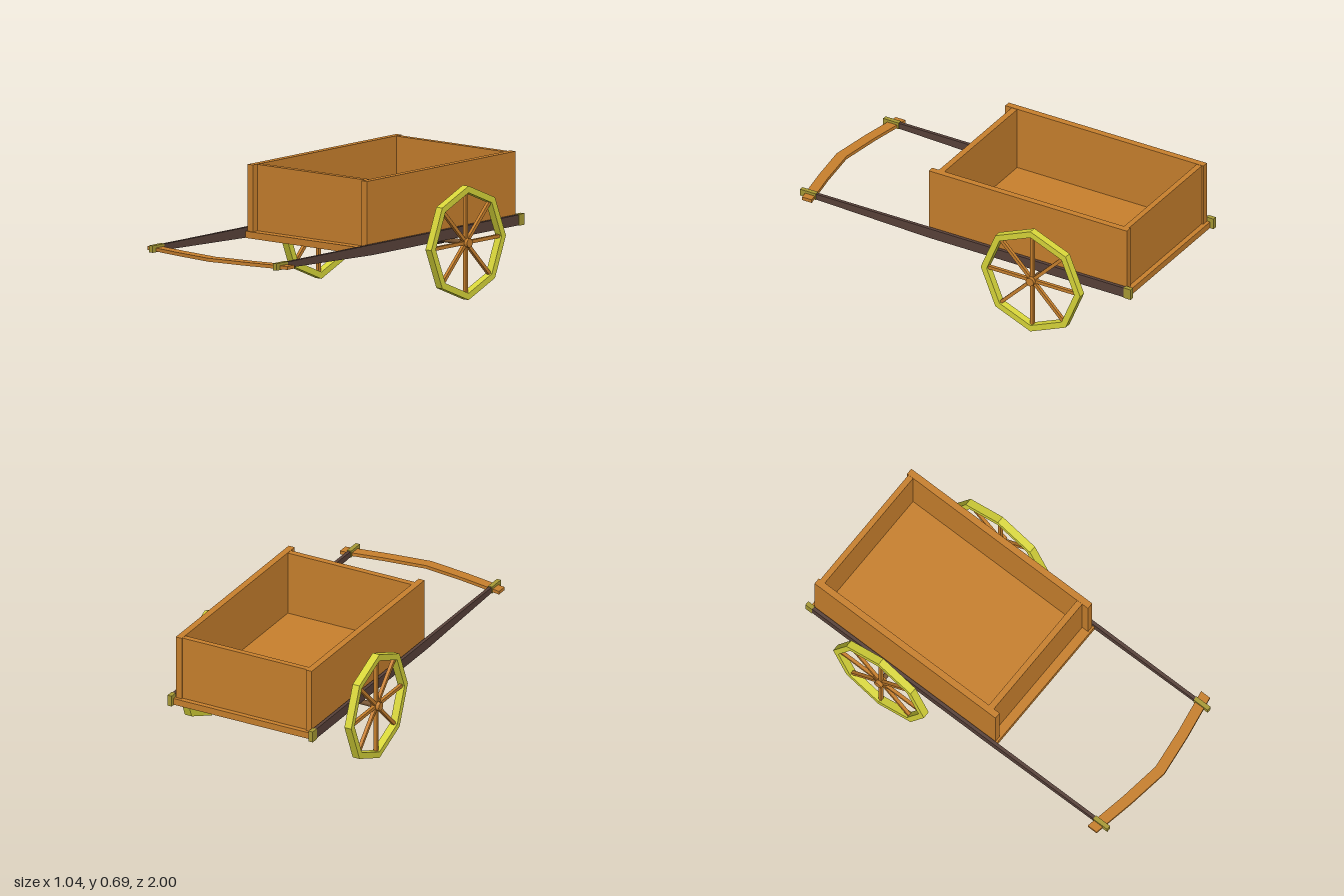
import * as THREE from 'three';

const material = (name, color) => {
  const m = new THREE.MeshStandardMaterial({ color });
  m.name = name;
  return m;
};

export function createModel() {
  const cart = new THREE.Group();
  cart.name = 'handcart';
  const wood = material('orange wood', 0xc8802d);
  const yellow = material('yellow paint', 0xd8d63a);
  const dark = material('dark brown wood', 0x59423a);
  const axleBrown = material('axle brown', 0x7a5530);
  const iron = material('dark iron', 0x33251f);
  const brass = material('brass', 0xa89a35);

  const add = (parent, name, geometry, mat) => {
    const mesh = new THREE.Mesh(geometry, mat);
    mesh.name = name;
    parent.add(mesh);
    return mesh;
  };
  // Box given by its lower and upper limits on each axis
  const block = (name, mat, x0, x1, y0, y1, z0, z1) => {
    const mesh = add(cart, name, new THREE.BoxGeometry(x1 - x0, y1 - y0, z1 - z0), mat);
    mesh.position.set((x0 + x1) / 2, (y0 + y1) / 2, (z0 + z1) / 2);
    return mesh;
  };
  const mirrored = (name, mat, x0, x1, ...rest) => {
    block(name + 'Left', mat, x0, x1, ...rest);
    block(name + 'Right', mat, -x1, -x0, ...rest);
  };
  const shapeOf = points => new THREE.Shape(points.map(p => new THREE.Vector2(...p)));
  const extrude = (shape, depth) => new THREE.ExtrudeGeometry(shape, { depth, bevelEnabled: false });

  // Open box: end walls sit slightly recessed between the side walls
  block('floor', wood, -0.402, 0.402, 0.31, 0.345, -0.98, 0.225);
  mirrored('sideWall', wood, 0.362, 0.397, 0.345, 0.69, -0.962, 0.214);
  block('frontWall', wood, -0.362, 0.362, 0.345, 0.688, 0.143, 0.176);
  block('backWall', wood, -0.362, 0.362, 0.345, 0.688, -0.953, -0.923);

  // Shafts taper on their underside towards the front
  const shaftProfile = shapeOf([[-0.97, 0.31], [0.2, 0.31], [0.94, 0.335], [0.94, 0.364], [-0.97, 0.364]]);
  const shaftGeometry = extrude(shaftProfile, 0.018).rotateY(-Math.PI / 2).translate(0.009, 0, 0);
  for (const side of [1, -1]) {
    const shaft = add(cart, side > 0 ? 'shaftLeft' : 'shaftRight', shaftGeometry, dark);
    shaft.position.x = side * 0.412;
  }
  mirrored('rearCap', brass, 0.4, 0.424, 0.308, 0.367, -1, -0.958);
  mirrored('frontCap', brass, 0.4, 0.424, 0.331, 0.367, 0.87, 0.962);

  // Bowed pulling bar; shape y is -z
  const bar = shapeOf([
    [-0.465, -0.925], [-0.23, -0.967], [0, -0.998], [0.23, -0.967], [0.465, -0.925],
    [0.465, -0.868], [0.23, -0.91], [0, -0.94], [-0.23, -0.91], [-0.465, -0.868],
  ]);
  add(cart, 'pullBar', extrude(bar, 0.018).rotateX(-Math.PI / 2).translate(0, 0.335, 0), wood);

  // Axle and its brackets
  const axleY = 0.295, axleZ = -0.457;
  const axle = add(cart, 'axle', new THREE.CylinderGeometry(0.014, 0.014, 0.98, 12), axleBrown);
  axle.rotation.z = Math.PI / 2;
  axle.position.set(0, axleY, axleZ);
  mirrored('axleBracket', iron, 0.292, 0.326, 0.272, 0.31, axleZ - 0.025, axleZ + 0.025);
  mirrored('bracketFlange', iron, 0.292, 0.326, 0.301, 0.311, axleZ - 0.08, axleZ + 0.08);

  // Eight-sided wheels
  const octagon = r => Array.from({ length: 8 }, (_, i) =>
    [r * Math.cos(i * Math.PI / 4), r * Math.sin(i * Math.PI / 4)]);
  const rimShape = shapeOf(octagon(0.295));
  rimShape.holes.push(new THREE.Path(octagon(0.26).map(p => new THREE.Vector2(...p))));
  const rimGeometry = extrude(rimShape, 0.04).translate(0, 0, -0.02).rotateY(Math.PI / 2);
  const hubGeometry = new THREE.CylinderGeometry(0.024, 0.024, 0.05, 8).rotateZ(Math.PI / 2);
  const spokeGeometry = new THREE.BoxGeometry(0.018, 0.255, 0.018).translate(0, 0.1375, 0);
  for (const side of [1, -1]) {
    const wheel = new THREE.Group();
    wheel.name = side > 0 ? 'wheelLeft' : 'wheelRight';
    wheel.position.set(side * 0.49, axleY, axleZ);
    add(wheel, 'rim', rimGeometry, yellow);
    add(wheel, 'hub', hubGeometry, wood).position.x = side * 0.003;
    for (let i = 0; i < 8; i++) {
      add(wheel, 'spoke', spokeGeometry, wood).rotation.x = i * Math.PI / 4;
    }
    cart.add(wheel);
  }
  return cart;
}
